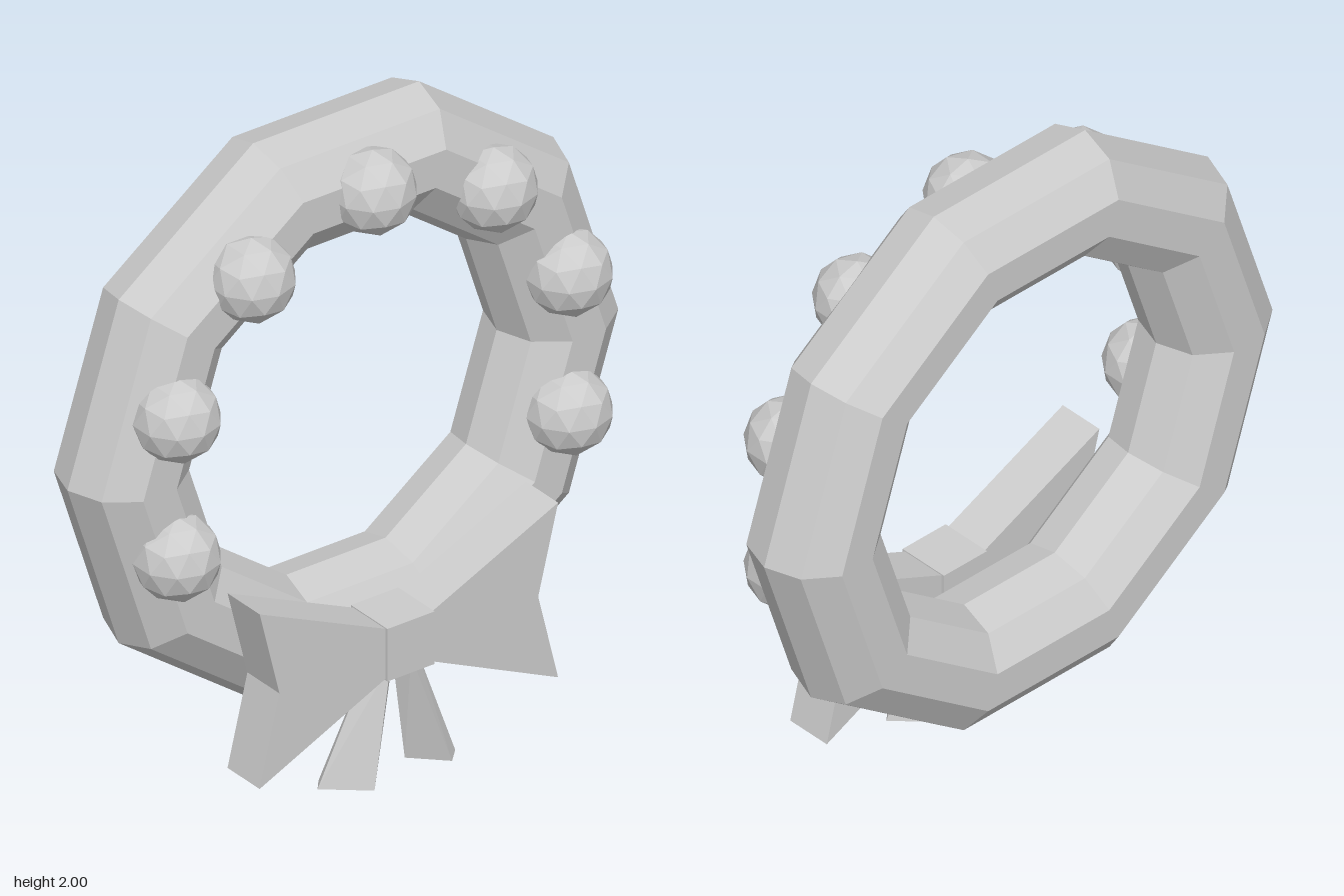
import * as THREE from 'three';

const material = new THREE.MeshStandardMaterial({ color: 0xcccccc, flatShading: true });

export function createModel() {
  const model = new THREE.Group();
  const add = (name, geometry, x = 0, y = 0, z = 0) => {
    const mesh = new THREE.Mesh(geometry, material);
    mesh.name = name;
    mesh.position.set(x, y, z);
    model.add(mesh);
    return mesh;
  };

  // Ten-sided ring
  const ringY = 1.1, ringZ = -0.085;
  add('wreathRing', new THREE.TorusGeometry(0.755, 0.19, 10, 10), 0, ringY, ringZ);

  // Round berries over the top of the ring, each with one corner straight up
  const berry = new THREE.IcosahedronGeometry(0.13, 1);
  berry.rotateX(-Math.atan((1 + Math.sqrt(5)) / 2));
  berry.rotateY(Math.PI / 2);
  for (let i = -3; i <= 3; i++) {
    const a = i * Math.PI / 5;
    add('berry', berry, 0.725 * Math.sin(a), ringY + 0.725 * Math.cos(a), 0.085);
  }

  // Bow loops: notched slabs, one on each side of the knot
  for (const side of [1, -1]) {
    const shape = new THREE.Shape(
      [[0, 0.39], [0.08, 0.35], [0.525, 0.145], [0.455, 0.43], [0.525, 0.71], [0.08, 0.51], [0, 0.47]]
        .map(([x, y]) => new THREE.Vector2(side * x, y)));
    add(side > 0 ? 'leftBowLoop' : 'rightBowLoop',
      new THREE.ExtrudeGeometry(shape, { depth: 0.15, bevelEnabled: false }), 0, 0, 0.105);
  }

  // Knot
  add('bowKnot', new THREE.BoxGeometry(0.166, 0.17, 0.17), 0, 0.43, 0.18);

  // Ribbon tails: boxes turned edge-on that widen towards the ground.
  // Each end gives its centre, its wide side and its thin side as [x, z].
  const tail = (name, height, bottom, top) => {
    const geometry = new THREE.BoxGeometry(1, 1, 1);
    const p = geometry.attributes.position;
    for (let i = 0; i < p.count; i++) {
      const u = p.getX(i), v = p.getZ(i), upper = p.getY(i) > 0;
      const { centre, wide, thin } = upper ? top : bottom;
      p.setXYZ(i,
        centre[0] + u * wide[0] + v * thin[0],
        upper ? height : 0,
        centre[1] + u * wide[1] + v * thin[1]);
    }
    geometry.computeVertexNormals();
    add(name, geometry);
  };
  tail('leftRibbonTail', 0.37,
    { centre: [0.13, 0.181], wide: [0.095, 0.095], thin: [-0.045, 0.045] },
    { centre: [0.038, 0.18], wide: [0.03, 0.05], thin: [-0.045, 0.04] });
  tail('rightRibbonTail', 0.37,
    { centre: [-0.166, 0.184], wide: [0.123, 0.103], thin: [-0.032, 0.038] },
    { centre: [-0.042, 0.18], wide: [0.04, 0.05], thin: [-0.035, 0.035] });

  return model;
}
